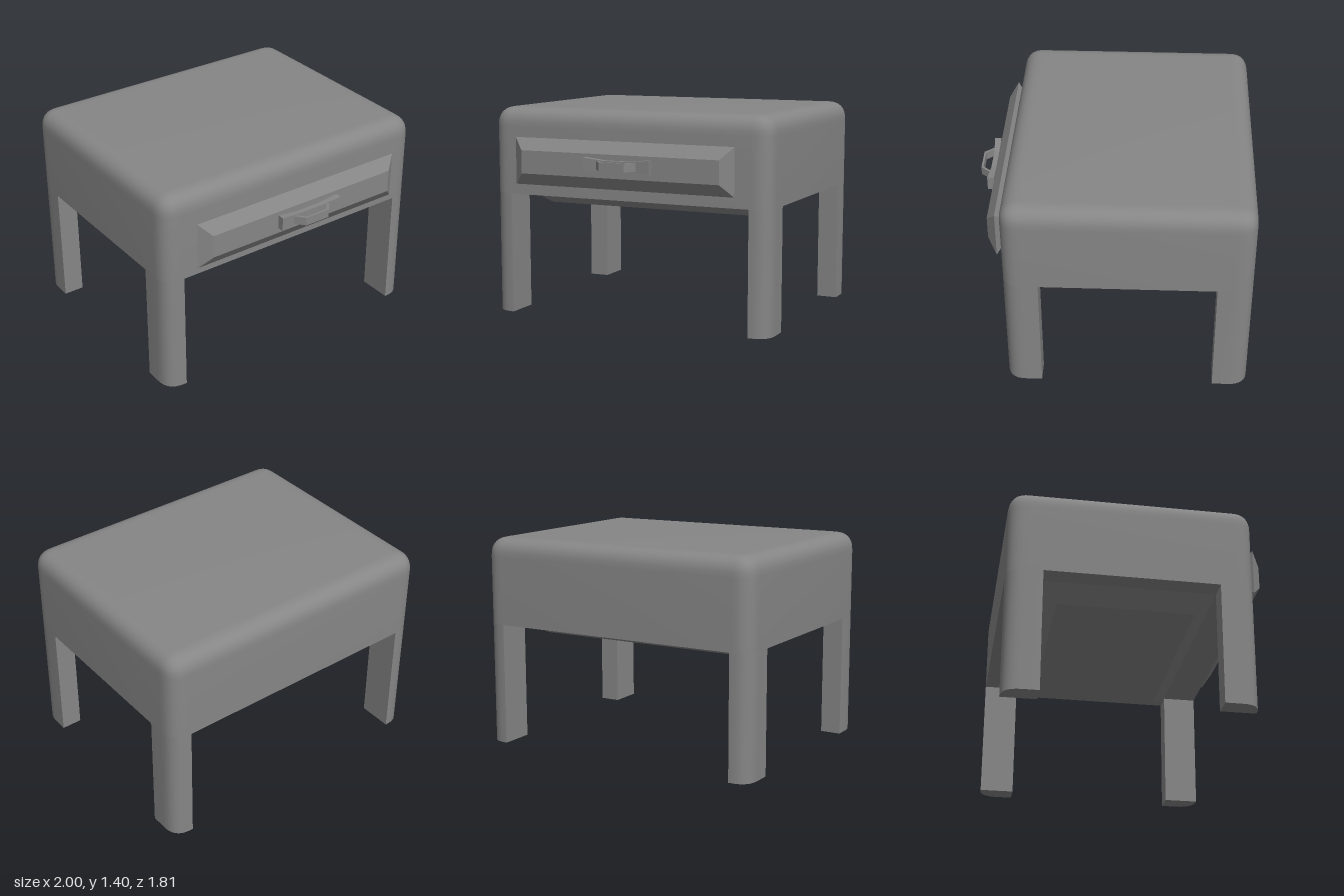
import * as THREE from 'three';
import { toCreasedNormals } from 'three/addons/utils/BufferGeometryUtils.js';

const paint = new THREE.MeshStandardMaterial({ color: 0x868686 });
const SEG = 8;          // segments per rounded corner
const CZ = -0.108;      // centre of the body in z
const HX = 1, HZ = 0.798, R = 0.13;
const UNDER = 0.816;    // underside of the body

// Closed skin through a series of rings; rings turn right-handed about the travel direction.
function loft(name, rings, crease = 0) {
  const pos = [];
  const tri = (...pts) => pts.forEach((p) => pos.push(...p));
  const centre = (ring) => [0, 1, 2].map((k) => ring.reduce((s, p) => s + p[k], 0) / ring.length);
  const n = rings[0].length;
  const first = rings[0], last = rings[rings.length - 1];
  const c0 = centre(first), c1 = centre(last);
  for (let i = 0; i < n; i++) {
    const j = (i + 1) % n;
    for (let k = 0; k < rings.length - 1; k++) {
      const a = rings[k], b = rings[k + 1];
      tri(a[i], a[j], b[j]);
      tri(a[i], b[j], b[i]);
    }
    tri(c0, first[j], first[i]);
    tri(c1, last[i], last[j]);
  }
  let geo = new THREE.BufferGeometry();
  geo.setAttribute('position', new THREE.Float32BufferAttribute(pos, 3));
  geo.computeVertexNormals();
  if (crease) geo = toCreasedNormals(geo, crease);
  const mesh = new THREE.Mesh(geo, paint);
  mesh.name = name;
  return mesh;
}

// Corner signs of a rectangle, counter-clockwise
const corners = [[-1, -1], [1, -1], [1, 1], [-1, 1]];

// Points of a slightly squared quarter round, from (0, 1) to (1, 0)
const quarter = Array.from({ length: SEG + 1 }, (_, i) => {
  const t = (i / SEG) * Math.PI / 2;
  return [Math.sin(t) ** 0.8, Math.max(Math.cos(t), 0) ** 0.8];
});

// Quarter arc of the body outline at corner (sx, sz), from the z side to the x side
function cornerArc(y, inset, sx, sz) {
  const r = R - inset;
  return quarter.map(([u, v]) => [sx * (HX - R + r * u), y, CZ + sz * (HZ - R + r * v)]);
}

// Full rounded outline of the body
function outline(y, inset) {
  return [
    ...cornerArc(y, inset, 1, 1),
    ...cornerArc(y, inset, 1, -1).reverse(),
    ...cornerArc(y, inset, -1, -1),
    ...cornerArc(y, inset, -1, 1).reverse(),
  ];
}

function buildBody() {
  const top = quarter.map(([u, v]) => outline(1.4 - R + R * u, Math.min(R * (1 - v), R - 0.001)));
  return loft('body', [outline(UNDER, 0), ...top], 0.4);
}

// Leg: square inner corner, rounded outer corner
function buildLeg(name, sx, sz) {
  const ring = (y) => {
    const zi = CZ + sz * 0.567;
    const pts = [[sx * 0.86, y, zi], [sx * 0.86, y, CZ + sz * HZ], ...cornerArc(y, 0, sx, sz), [sx * HX, y, zi]];
    return sx * sz < 0 ? pts.reverse() : pts;
  };
  return loft(name, [ring(0), ring(UNDER)], 0.4);
}

export function createModel() {
  const model = new THREE.Group();
  model.name = 'nightstand';
  model.add(buildBody());

  for (const sx of [1, -1]) {
    for (const sz of [1, -1]) {
      model.add(buildLeg((sz > 0 ? 'front' : 'back') + (sx > 0 ? 'Left' : 'Right') + 'Leg', sx, sz));
    }
  }

  // Tapered panel under the body
  model.add(loft('underPanel', [[0.722, 0.742, 0.452], [UNDER, 0.86, 0.567]].map(
    ([y, hx, hz]) => corners.map(([sz, sx]) => [sx * hx, y, CZ + sz * hz]))));

  // Bevelled drawer front
  const drawer = [[0.66, 0.745, 0.119], [0.703, 0.745, 0.119], [0.737, 0.786, 0.157], [0.797, 0.708, 0.077]];
  model.add(loft('drawerFront', drawer.map(
    ([z, hx, hy]) => corners.map(([sx, sy]) => [-0.003 + sx * hx, 1.05 + sy * hy, z]))));

  // Handle: flared back plate with a thin bridge-shaped grip
  const handle = new THREE.Group();
  handle.name = 'handle';
  handle.position.set(0.015, 1.061, 0);
  const plate = [[-0.235, 0.046, 0.85], [-0.09, 0.03, 0.84], [0.09, 0.03, 0.84], [0.235, 0.046, 0.85]];
  handle.add(loft('handlePlate', plate.map(
    ([x, hy, zf]) => corners.map(([sy, sz]) => [x, sy * hy, sz > 0 ? zf : 0.806]))));

  // Each grip section: inner x, z and outer x, z
  const grip = [[-0.128, 0.838, -0.146, 0.838], [-0.08, 0.894, -0.09, 0.907], [0.08, 0.894, 0.09, 0.907], [0.128, 0.838, 0.146, 0.838]];
  handle.add(loft('handleGrip', grip.map(
    ([xi, zi, xo, zo]) => corners.map(([sy, s]) => [s > 0 ? xo : xi, sy * 0.028, s > 0 ? zo : zi]))));
  model.add(handle);

  return model;
}
